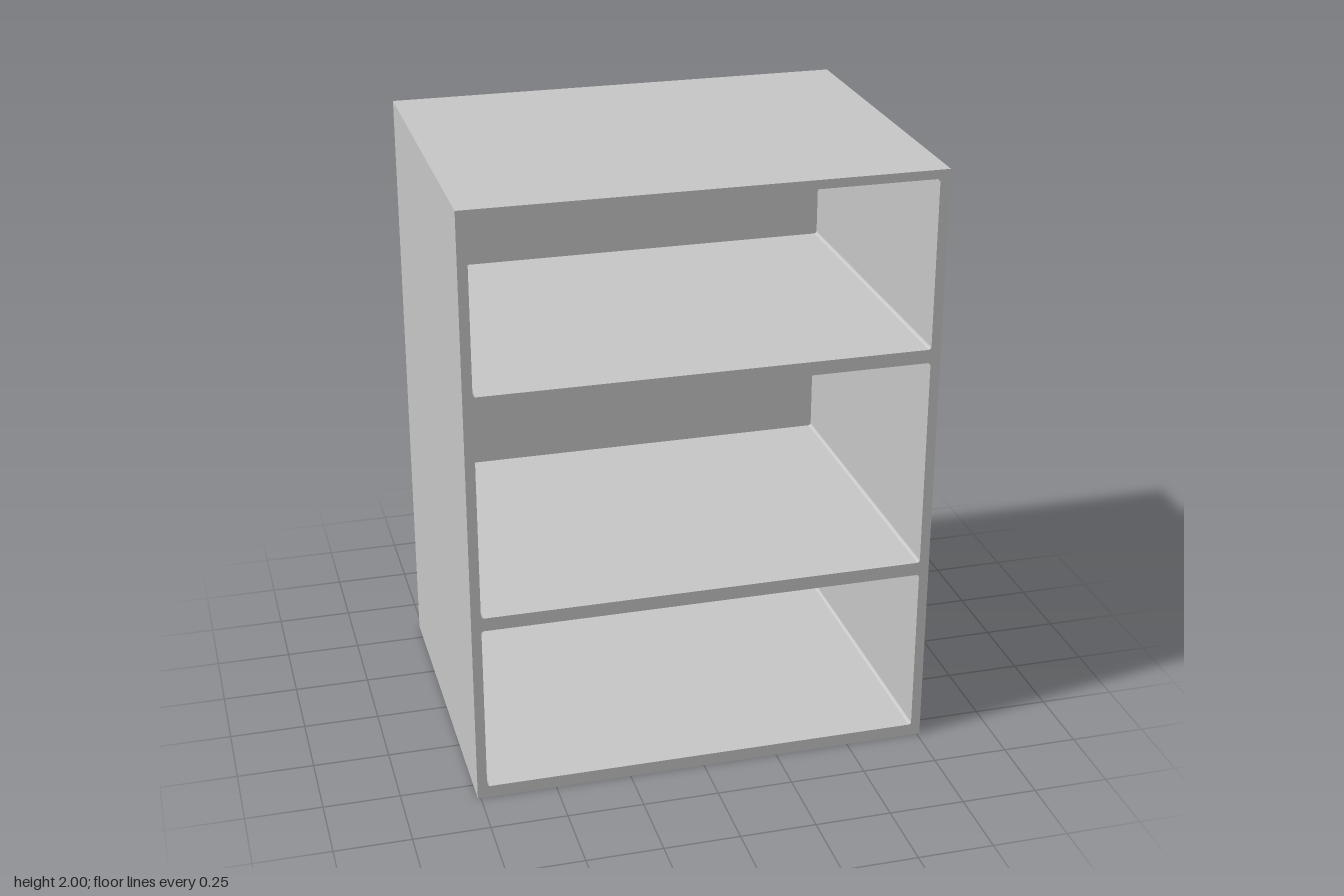
import * as THREE from 'three';

const W = 1.52, H = 2, D = 1.16; // overall size
const BACK = 0.035;              // back panel thickness
const INNER = 0.728;             // half width of the openings
const BAYS = [[0.041, 0.614], [0.659, 1.367], [1.412, 1.971]]; // bottom, top

// Rectangle outline with slightly rounded corners
function roundedRect(path, x0, y0, x1, y1, r) {
  path.moveTo(x0 + r, y0);
  path.lineTo(x1 - r, y0);
  path.absarc(x1 - r, y0 + r, r, -Math.PI / 2, 0);
  path.lineTo(x1, y1 - r);
  path.absarc(x1 - r, y1 - r, r, 0, Math.PI / 2);
  path.lineTo(x0 + r, y1);
  path.absarc(x0 + r, y1 - r, r, Math.PI / 2, Math.PI);
  path.lineTo(x0, y0 + r);
  path.absarc(x0 + r, y0 + r, r, Math.PI, Math.PI * 1.5);
  return path;
}

export function createModel() {
  const group = new THREE.Group();
  group.name = 'openShelfCabinet';
  const grey = new THREE.MeshStandardMaterial({ color: 0xc8c8c8 });
  grey.name = 'light grey';

  // Sides, top, bottom and two shelves as one frame with three openings
  const outline = new THREE.Shape([
    new THREE.Vector2(-W / 2, 0), new THREE.Vector2(W / 2, 0),
    new THREE.Vector2(W / 2, H), new THREE.Vector2(-W / 2, H),
  ]);
  for (const [y0, y1] of BAYS) {
    outline.holes.push(roundedRect(new THREE.Path(), -INNER, y0, INNER, y1, 0.01));
  }
  const frame = new THREE.Mesh(
    new THREE.ExtrudeGeometry(outline, { depth: D - BACK, bevelEnabled: false, curveSegments: 4 }), grey);
  frame.name = 'shelfFrame';
  frame.position.z = -D / 2 + BACK;
  group.add(frame);

  // Closed back
  const back = new THREE.Mesh(new THREE.BoxGeometry(W, H, BACK), grey);
  back.name = 'backPanel';
  back.position.set(0, H / 2, -D / 2 + BACK / 2);
  group.add(back);

  return group;
}
